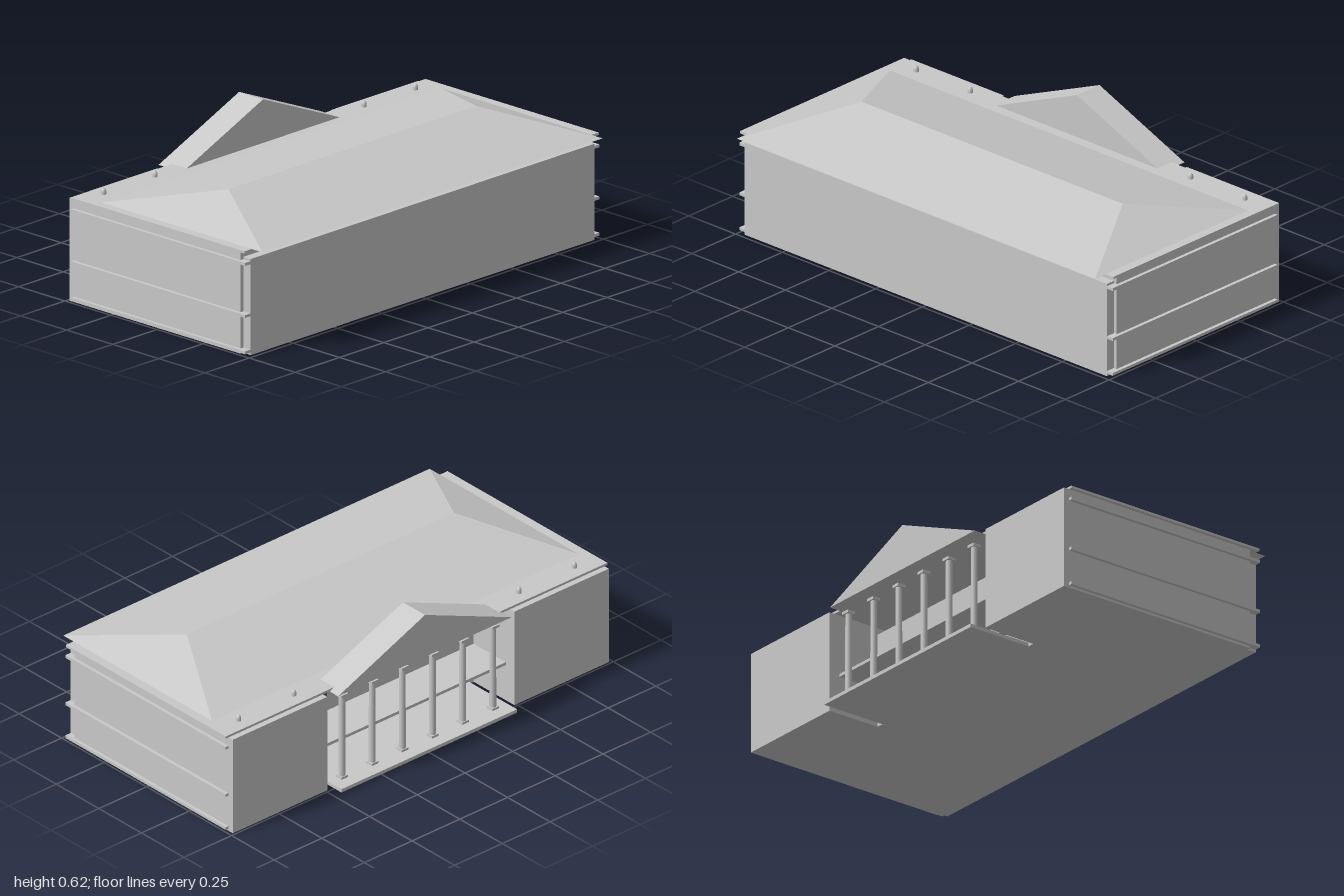
import * as THREE from 'three';
import { ConvexGeometry } from 'three/addons/geometries/ConvexGeometry.js';

export function createModel() {
  const group = new THREE.Group();
  const stone = new THREE.MeshStandardMaterial({ color: 0xc8c8c8 });
  stone.name = 'pale grey stone';
  const dark = new THREE.MeshStandardMaterial({ color: 0x606060 });
  dark.name = 'dark grey glass';

  const add = (name, geometry, material = stone) => {
    const mesh = new THREE.Mesh(geometry, material);
    mesh.name = name;
    group.add(mesh);
    return mesh;
  };
  // Box given by its lower and upper limits on each axis
  const box = (name, x0, x1, y0, y1, z0, z1, material) => {
    const mesh = add(name, new THREE.BoxGeometry(x1 - x0, y1 - y0, z1 - z0), material);
    mesh.position.set((x0 + x1) / 2, (y0 + y1) / 2, (z0 + z1) / 2);
    return mesh;
  };

  // Main masses: front wall, recessed centre and two taller wings
  box('frontWall', -0.97, 0.97, 0, 0.397, 0.44, 0.48);
  box('centralBlock', -0.49, 0.49, 0, 0.397, -0.25, 0.44);
  for (const s of [-1, 1]) {
    const inner = s * 0.49, outer = s * 0.985;
    box('wing', Math.min(inner, outer), Math.max(inner, outer), 0, 0.425, -0.49, 0.44);
    // Horizontal bands along the side walls
    for (const y of [0.016, 0.166, 0.381]) {
      const a = s * 0.965, b = s;
      box('sideBand', Math.min(a, b), Math.max(a, b), y - 0.006, y + 0.006, -0.465, 0.478);
    }
  }

  // Roof slab and hipped roof
  box('roofSlab', -1, 1, 0.425, 0.435, -0.465, 0.475);
  const hip = [];
  for (const s of [-1, 1]) {
    hip.push(
      new THREE.Vector3(s * 0.96, 0.435, 0.535),
      new THREE.Vector3(s * 0.96, 0.435, -0.34),
      new THREE.Vector3(s * 0.7, 0.53, 0.1)
    );
  }
  add('hippedRoof', new ConvexGeometry(hip));

  // Pediment over the portico
  const gable = new THREE.Shape([
    new THREE.Vector2(-0.455, 0.425),
    new THREE.Vector2(0.455, 0.425),
    new THREE.Vector2(0, 0.615)
  ]);
  add('pediment', new THREE.ExtrudeGeometry(gable, { depth: 0.13, bevelEnabled: false })).position.z = -0.515;

  // Portico platform and balcony floor
  box('porticoPlatform', -0.46, 0.46, 0, 0.015, -0.54, -0.25);
  box('balconyFloor', -0.49, 0.49, 0.16, 0.173, -0.44, -0.25);

  // Columns with bases and capitals
  for (let i = 0; i < 6; i++) {
    const x = -0.395 + i * 0.158, z = -0.47;
    add('column', new THREE.CylinderGeometry(0.013, 0.014, 0.37, 16)).position.set(x, 0.2, z);
    box('columnBase', x - 0.017, x + 0.017, 0.015, 0.025, z - 0.017, z + 0.017);
    box('columnCapital', x - 0.018, x + 0.018, 0.385, 0.397, z - 0.018, z + 0.018);
  }

  // Narrow windows on both floors of the recessed wall
  for (const y of [0.05, 0.22]) {
    for (let i = 0; i < 8; i++) {
      const x = -0.42 + i * 0.12;
      box('window', x - 0.016, x + 0.016, y, y + 0.09, -0.256, -0.249, dark);
    }
  }

  // Small domed vents on the roof slab
  const vent = new THREE.LatheGeometry([
    [0.011, 0], [0.011, 0.012], [0.009, 0.02], [0.005, 0.025], [0, 0.027]
  ].map(([r, y]) => new THREE.Vector2(r, y)), 16);
  for (const x of [-0.88, -0.59, 0.59, 0.88]) {
    add('roofVent', vent).position.set(x, 0.434, -0.405);
  }

  return group;
}
